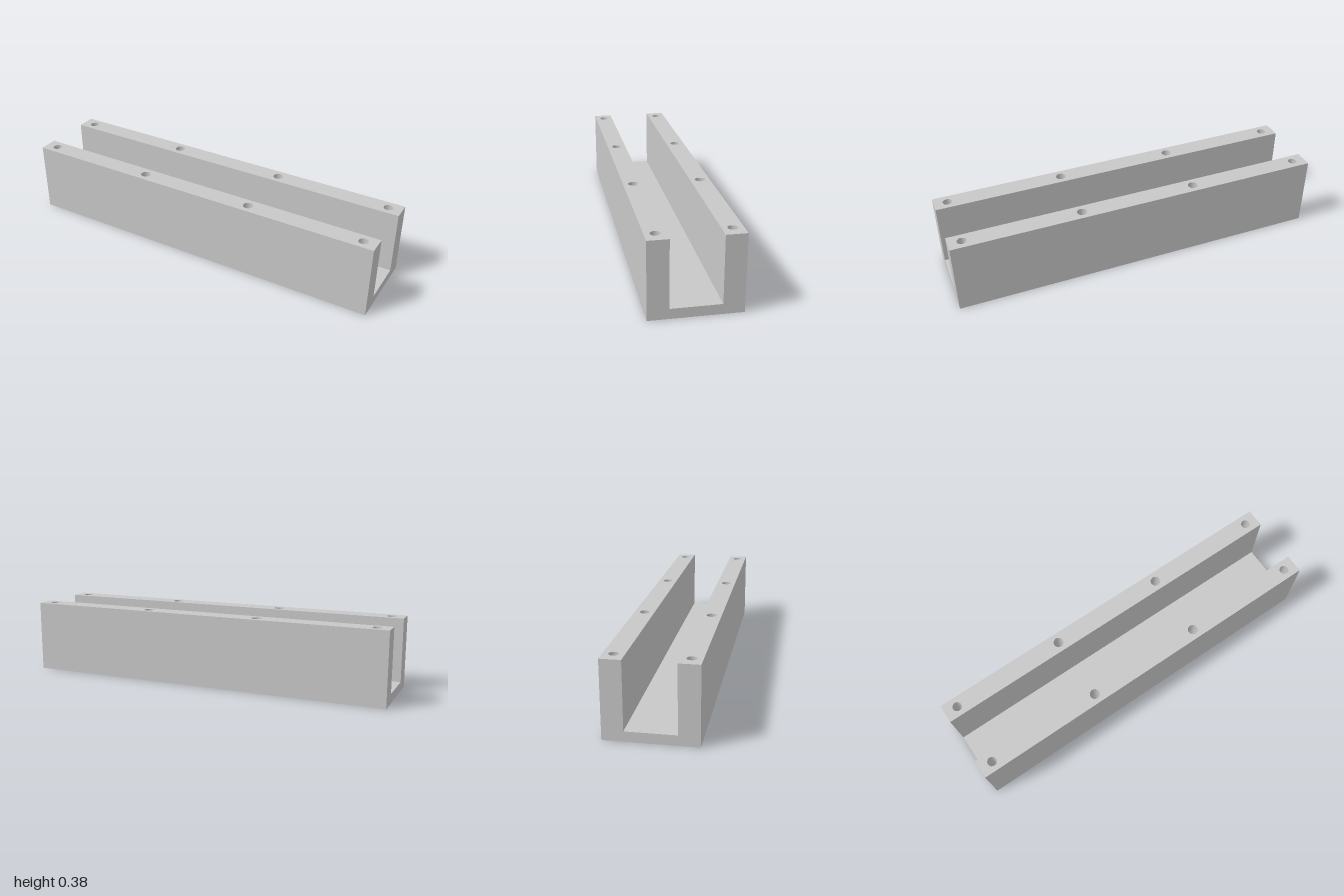
import * as THREE from 'three';

const L = 2, H = 0.384, W = 0.445;       // overall length, height, width
const INNER = 0.1215, FLOOR = 0.05;      // half width of the channel, floor thickness
const HOLE_Z = 0.172, SEG = 24;
const BLIND_DEPTH = 0.15;
const WALL = W / 2 - INNER;

// Bolt holes along each rail: outer and inner pairs go through, the middle pair is blind
const THROUGH = [
  { x: 0.93, r: 0.024 }, { x: 0.313, r: 0.026 },
  { x: -0.313, r: 0.026 }, { x: -0.93, r: 0.024 },
];
const BLIND = [{ x: 0.567, r: 0.024 }, { x: -0.567, r: 0.024 }];

export function createModel() {
  const group = new THREE.Group();
  const steel = new THREE.MeshStandardMaterial({ color: 0xc8c8c8 });
  steel.name = 'light steel';

  const add = (name, geometry, x, y, z) => {
    const mesh = new THREE.Mesh(geometry, steel);
    mesh.name = name;
    mesh.position.set(x, y, z);
    group.add(mesh);
  };

  // Rectangle centred on the origin, pierced by round holes
  const plate = (width, holes) => {
    const h = width / 2;
    const shape = new THREE.Shape([[-1, -h], [1, -h], [1, h], [-1, h]]
      .map(([x, y]) => new THREE.Vector2(x * L / 2, y)));
    for (const { x, y, r } of holes) {
      shape.holes.push(new THREE.Path().absarc(x, y, r, 0, Math.PI * 2, true));
    }
    return new THREE.ShapeGeometry(shape, SEG);
  };

  // Hole wall facing its own axis (profile runs downwards)
  const bore = (r, depth) => new THREE.LatheGeometry(
    [new THREE.Vector2(r, depth), new THREE.Vector2(r, 0)], SEG);

  // Underside with every hole of both rails
  const bottomHoles = [-HOLE_Z, HOLE_Z].flatMap(
    y => [...THROUGH, ...BLIND].map(h => ({ ...h, y })));
  add('underside', plate(W, bottomHoles).rotateX(Math.PI / 2), 0, 0, 0);

  // Channel floor
  add('channelFloor', new THREE.PlaneGeometry(L, INNER * 2).rotateX(-Math.PI / 2), 0, FLOOR, 0);

  // U-shaped ends
  const profile = new THREE.Shape([
    [-W / 2, 0], [W / 2, 0], [W / 2, H], [INNER, H],
    [INNER, FLOOR], [-INNER, FLOOR], [-INNER, H], [-W / 2, H],
  ].map(([x, y]) => new THREE.Vector2(x, y)));
  for (const s of [1, -1]) {
    add(s > 0 ? 'leftEnd' : 'rightEnd',
      new THREE.ShapeGeometry(profile).rotateY(s * Math.PI / 2), s * L / 2, 0, 0);
  }

  // Rails: outer wall, inner wall, top face and bores
  for (const s of [1, -1]) {
    const side = s > 0 ? 'front' : 'back';
    const turn = s > 0 ? 0 : Math.PI;
    add(side + 'OuterWall', new THREE.PlaneGeometry(L, H).rotateY(turn), 0, H / 2, s * W / 2);
    add(side + 'InnerWall', new THREE.PlaneGeometry(L, H - FLOOR).rotateY(turn + Math.PI),
      0, (H + FLOOR) / 2, s * INNER);

    const railZ = s * (INNER + WALL / 2);
    const topHoles = THROUGH.map(h => ({ ...h, y: railZ - s * HOLE_Z }));
    add(side + 'RailTop', plate(WALL, topHoles).rotateX(-Math.PI / 2), 0, H, railZ);

    for (const { x, r } of THROUGH) {
      add(side + 'ThroughBore', bore(r, H), x, 0, s * HOLE_Z);
    }
    for (const { x, r } of BLIND) {
      add(side + 'BlindBore', bore(r, BLIND_DEPTH), x, 0, s * HOLE_Z);
      add(side + 'BlindBoreEnd', new THREE.CircleGeometry(r, SEG).rotateX(Math.PI / 2),
        x, BLIND_DEPTH, s * HOLE_Z);
    }
  }
  return group;
}
